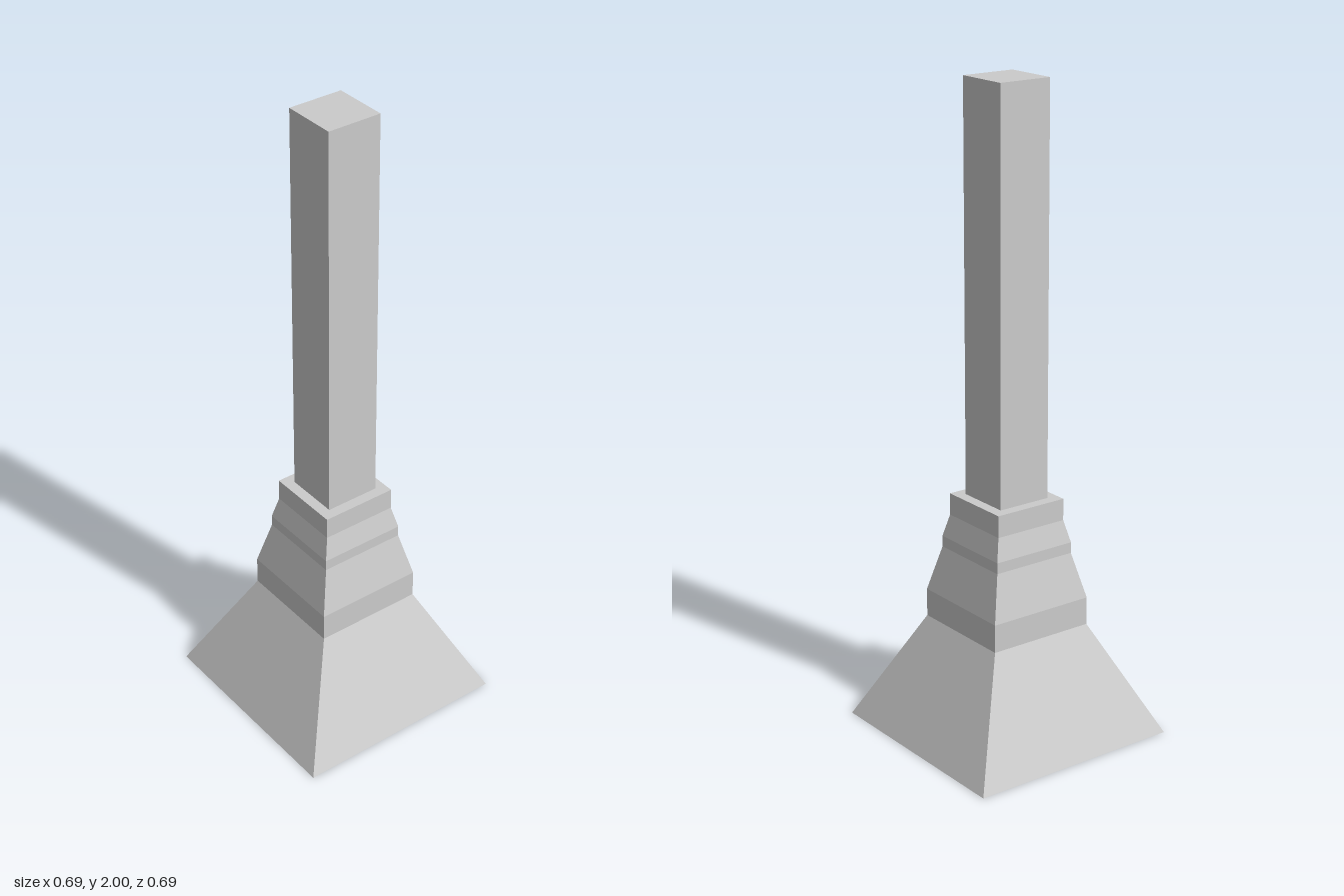
import * as THREE from 'three';

const material = new THREE.MeshStandardMaterial({ color: 0xcccccc, flatShading: true });

// Square-section solid from [half width, height] pairs, listed bottom to top
function squareTurned(name, profile) {
  const points = profile.map(([half, y]) => new THREE.Vector2(half * Math.SQRT2, y));
  const geometry = new THREE.LatheGeometry(points, 4, Math.PI / 4).toNonIndexed();
  geometry.computeVertexNormals();
  const mesh = new THREE.Mesh(geometry, material);
  mesh.name = name;
  return mesh;
}

export function createModel() {
  const group = new THREE.Group();
  group.name = 'pillar';

  // Flared foot, stepped collars and the flat ledge around the shaft
  group.add(squareTurned('steppedBase', [
    [0, 0], [0.345, 0],
    [0.173, 0.347], [0.173, 0.434],
    [0.138, 0.576], [0.138, 0.61],
    [0.121, 0.68], [0.121, 0.748],
    [0.087, 0.748],
  ]));

  // Plain square shaft with a flat top
  group.add(squareTurned('shaft', [[0.087, 0.748], [0.087, 2], [0, 2]]));

  return group;
}
